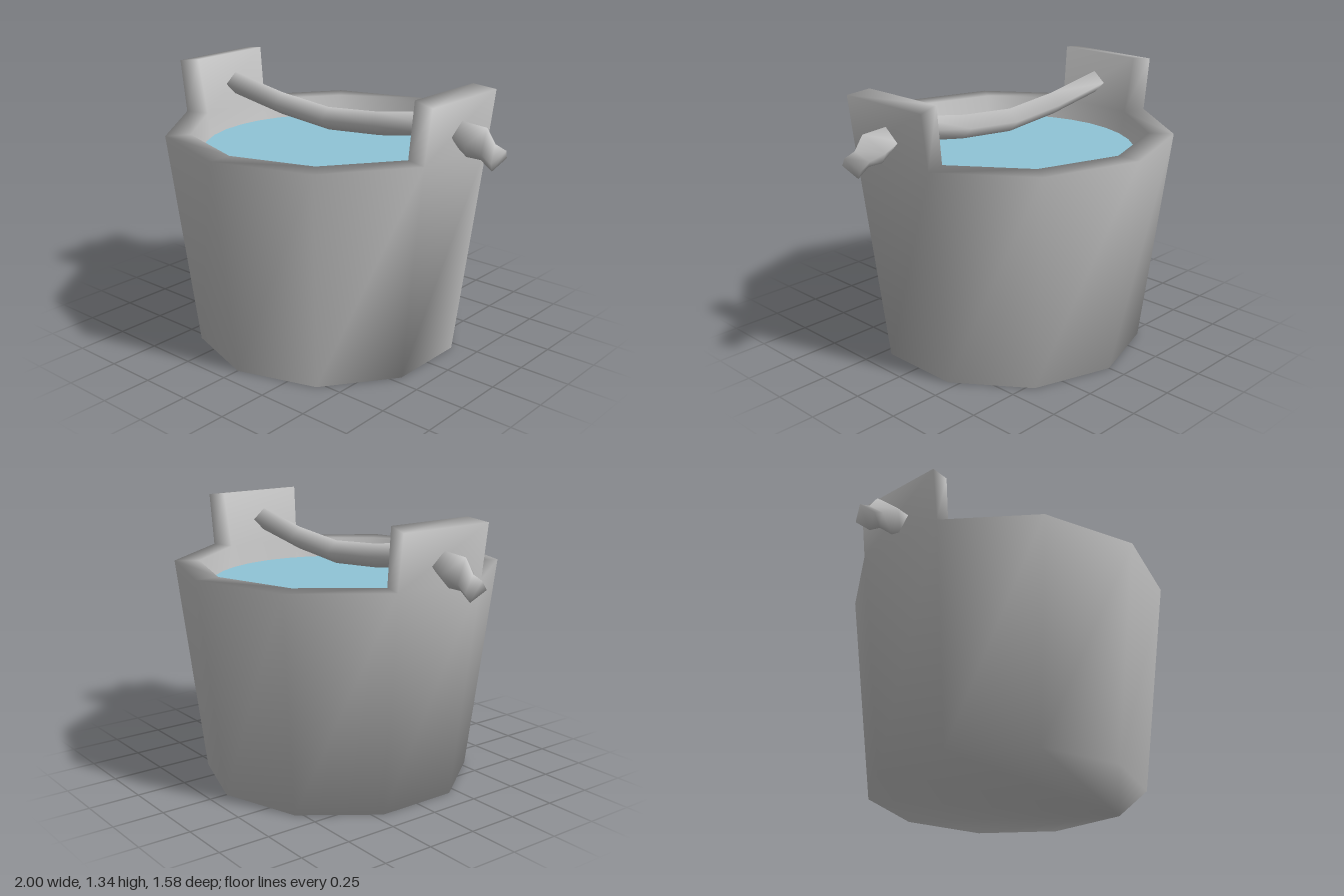
import * as THREE from 'three';

const SIDES = 10;

// Indexed geometry with shared vertices, so normals blend over every edge
function smoothGeometry(points, index) {
  const g = new THREE.BufferGeometry();
  g.setAttribute('position', new THREE.Float32BufferAttribute(points.flat(), 3));
  g.setIndex(index);
  g.computeVertexNormals();
  return g;
}

// Ten-sided hollow bucket with two raised ears
function bucketGeometry() {
  const points = [], index = [];
  const quad = (a, b, c, d) => index.push(a, b, c, a, c, d);
  // outer bottom, outer rim, inner rim, inner floor: [radius, y]
  const rings = [[0.66, 0], [0.79, 1.065], [0.67, 1.065], [0.55, 0.1]];
  for (const [r, y] of rings) {
    for (let i = 0; i < SIDES; i++) {
      const a = ((i + 0.5) / SIDES) * Math.PI * 2;
      points.push([r * Math.cos(a), y, r * Math.sin(a)]);
    }
  }
  const v = (ring, i) => ring * SIDES + (i % SIDES);
  const isEar = (i) => i === 4 || i === 9;
  for (let r = 0; r < 3; r++) {
    for (let i = 0; i < SIDES; i++) {
      if (r === 1 && isEar(i)) continue;
      quad(v(r, i + 1), v(r, i), v(r + 1, i), v(r + 1, i + 1));
    }
  }
  // underside and inner floor
  for (let i = 1; i < SIDES - 1; i++) {
    index.push(v(0, 0), v(0, i), v(0, i + 1));
    index.push(v(3, 0), v(3, i + 1), v(3, i));
  }
  // ears rise from the rim on the left and right
  for (const i of [4, 9]) {
    const base = [v(1, i + 1), v(1, i), v(2, i), v(2, i + 1)];
    const top = base.map((id, k) => {
      const s = Math.sign(points[id][0]), t = Math.sign(points[id][2]);
      points.push(k < 2 ? [s * 0.785, 1.325, t * 0.245] : [s * 0.675, 1.34, t * 0.222]);
      return points.length - 1;
    });
    quad(...top);
    for (let k = 0; k < 4; k++) {
      const n = (k + 1) % 4;
      quad(base[k], base[n], top[n], top[k]);
    }
  }
  return smoothGeometry(points, index);
}

// Four-sided bar along +x; each station is [x, y, radius, tilt of the section]
function barGeometry(stations) {
  const points = [], index = [];
  for (const [x, y, r, tilt] of stations) {
    const dx = -Math.sin(tilt) * r, dy = Math.cos(tilt) * r;
    points.push([x + dx, y + dy, 0], [x, y, r], [x - dx, y - dy, 0], [x, y, -r]);
  }
  for (let s = 0; s < stations.length - 1; s++) {
    for (let k = 0; k < 4; k++) {
      const a = s * 4 + k, b = s * 4 + ((k + 1) % 4);
      index.push(a, b, b + 4, a, b + 4, a + 4);
    }
  }
  const e = (stations.length - 1) * 4;
  index.push(0, 2, 1, 0, 3, 2, e, e + 1, e + 2, e, e + 2, e + 3);
  return smoothGeometry(points, index);
}

export function createModel() {
  const group = new THREE.Group();
  const metal = new THREE.MeshStandardMaterial({ color: 0xc4c4c4 });
  metal.name = 'grey metal';
  const blue = new THREE.MeshStandardMaterial({ color: 0x8fc4d6 });
  blue.name = 'water blue';
  const add = (name, geometry, material) => {
    const m = new THREE.Mesh(geometry, material);
    m.name = name;
    group.add(m);
    return m;
  };

  add('bucket', bucketGeometry(), metal);

  const water = add('water', new THREE.CircleGeometry(0.61, 32), blue);
  water.rotation.x = -Math.PI / 2;
  water.position.y = 0.97;

  // sagging carrying bar between the ears
  add('handle', barGeometry([
    [-0.65, 1.19, 0.056, -0.17], [-0.31, 1.133, 0.056, -0.13], [0, 1.106, 0.056, 0],
    [0.31, 1.133, 0.056, 0.13], [0.65, 1.19, 0.056, 0.17],
  ]), metal);

  // drooping knobs outside the ears
  const knob = barGeometry([
    [0.745, 1.165, 0.06, 0], [0.85, 1.14, 0.09, -0.59],
    [0.91, 1.108, 0.055, -0.69], [0.967, 1.078, 0.063, -0.56],
  ]);
  add('leftKnob', knob, metal);
  add('rightKnob', knob, metal).rotation.y = Math.PI;

  return group;
}
